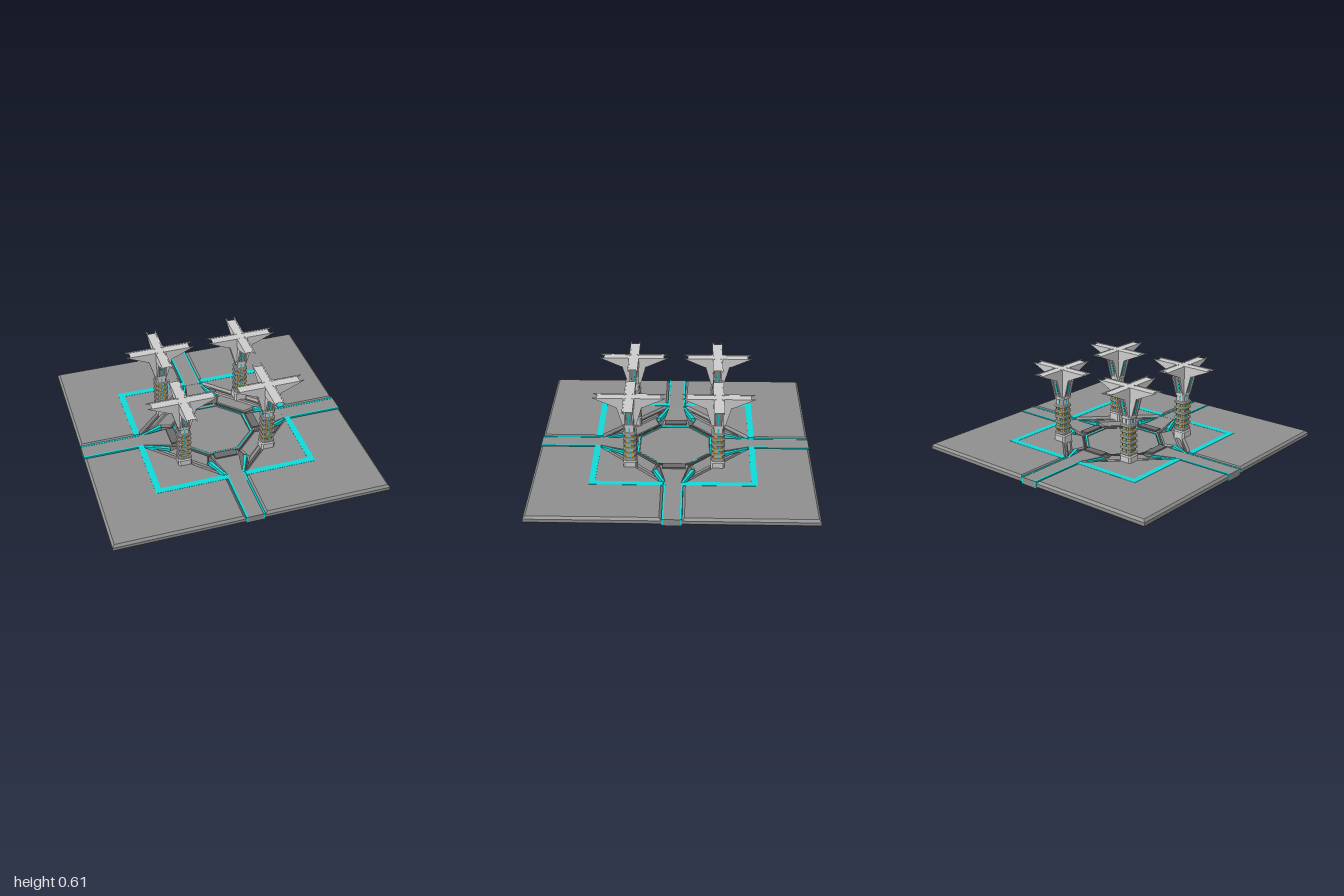
import * as THREE from 'three';

const paint = (color) => new THREE.MeshStandardMaterial({ color, flatShading: true });
const light = paint(0xcccccc), stone = paint(0x8e8e8e), dark = paint(0x6a6a6a);
const cyan = paint(0x0cd8d8), amber = paint(0xd09a18);

const add = (group, name, geometry, material) => {
  const mesh = new THREE.Mesh(geometry, material);
  mesh.name = name;
  group.add(mesh);
  return mesh;
};
const shapeOf = (pts) => new THREE.Shape(pts.map(([x, y]) => new THREE.Vector2(x, y)));

const box = (group, name, mat, w, h, d, x, y, z) => {
  const mesh = add(group, name, new THREE.BoxGeometry(w, h, d), mat);
  mesh.position.set(x, y, z);
  return mesh;
};

// Plan outline in (x, z) raised between y0 and y1, with optional chamfers
function slab(pts, y0, y1, bevel = 0, holes = []) {
  const shape = shapeOf(pts.map(([x, z]) => [x, -z]));
  holes.forEach((h) => shape.holes.push(shapeOf(h.map(([x, z]) => [x, -z]))));
  const g = new THREE.ExtrudeGeometry(shape, {
    depth: y1 - y0 - 2 * bevel, bevelEnabled: bevel > 0, bevelSize: bevel,
    bevelThickness: bevel, bevelOffset: -bevel, bevelSegments: 1,
  });
  return g.rotateX(-Math.PI / 2).translate(0, y0 + bevel, 0);
}

// Side profile in (x, y), centred across z
function profile(pts, width, z = 0) {
  return new THREE.ExtrudeGeometry(shapeOf(pts), { depth: width, bevelEnabled: false })
    .translate(0, 0, z - width / 2);
}

const chamferedSquare = (r, c) => [
  [r, r - c], [r - c, r], [c - r, r], [-r, r - c],
  [-r, c - r], [c - r, -r], [r - c, -r], [r, c - r],
];

function quarterFloor() {
  const g = new THREE.Group();
  g.name = 'floorQuarter';
  add(g, 'cornerSlab', slab([[0.07, 0.55], [0.07, 1], [1, 1], [1, 0.07], [0.55, 0.07]], 0, 0.056, 0.016), stone);
  // Glowing corner of the floor square, visible from both faces
  add(g, 'floorLight', slab([[0.07, 0.55], [0.07, 0.595], [0.595, 0.595], [0.595, 0.07], [0.55, 0.07], [0.55, 0.55]],
    -0.0005, 0.0575), cyan);
  // Sunken panel between slab and octagon
  add(g, 'diagonalPanel', slab([[0.12, 0.29], [0.15, 0.385], [0.1, 0.5], [0.5, 0.1], [0.385, 0.15], [0.29, 0.12]],
    0.005, 0.034, 0.01), stone);
  add(g, 'diagonalKerb', slab([[0.15, 0.40], [0.11, 0.49], [0.49, 0.11], [0.40, 0.15]], 0.02, 0.044, 0.01), stone);
  return g;
}

function walkway() {
  const g = new THREE.Group();
  g.name = 'walkway';
  // Straight strip to the outer edge
  box(g, 'walkwayStrip', stone, 0.11, 0.05, 0.45, 0, 0.026, 0.775);
  // Ramp stepping down to the octagon
  const ramp = profile([[0.27, 0.005], [0.55, 0.005], [0.55, 0.05], [0.27, 0.028]], 1);
  ramp.rotateY(-Math.PI / 2);
  const p = ramp.attributes.position;
  for (let i = 0; i < p.count; i++) {
    const t = (p.getZ(i) - 0.27) / 0.28;
    p.setX(i, p.getX(i) * 2 * THREE.MathUtils.lerp(0.11, 0.055, t));
  }
  ramp.computeVertexNormals();
  add(g, 'ramp', ramp, stone);
  box(g, 'rampStep', dark, 0.17, 0.02, 0.06, 0, 0.034, 0.315);
  for (const s of [-1, 1]) {
    box(g, 'walkwayLight', cyan, 0.014, 0.052, 0.45, s * 0.062, 0.027, 0.775);
    const pts = [[s * 0.052, 0.55], [s * 0.069, 0.55], [s * 0.15, 0.37], [s * 0.12, 0.37]];
    add(g, 'rampLight', slab(s > 0 ? pts : pts.reverse(), 0.01, 0.045), cyan);
  }
  return g;
}

// One of four channel-shaped arms, reaching along +x
function arm() {
  const g = new THREE.Group();
  g.name = 'arm';
  const top = [[0.02, 0.612], [0.255, 0.612], [0.1, 0.542], [0.02, 0.535]];
  const bracket = [[0.02, 0.545], [0.09, 0.542], [0.047, 0.39], [0.02, 0.39]];
  for (const s of [-1, 1]) {
    add(g, 'armFlange', profile(top, 0.009, s * 0.0325), light);
    add(g, 'bracketFlange', profile(bracket, 0.012, s * 0.027), light);
  }
  add(g, 'armWeb', profile([[0, 0.609], [0.225, 0.609], [0.085, 0.55], [0, 0.55]], 0.058), light);
  add(g, 'bracketWeb', profile([[0, 0.55], [0.08, 0.545], [0.04, 0.39], [0, 0.39]], 0.044), stone);
  // Light lines under the arm and down the bracket
  add(g, 'armLight', profile([[0.2, 0.602], [0.204, 0.599], [0.094, 0.551], [0.09, 0.555]], 0.014), cyan);
  add(g, 'bracketLight', profile([[0.07, 0.515], [0.075, 0.515], [0.051, 0.42], [0.046, 0.42]], 0.012), cyan);
  return g;
}

function column() {
  const g = new THREE.Group();
  g.name = 'column';
  add(g, 'columnBase', slab(chamferedSquare(0.05, 0.012), 0, 0.105, 0.008), light);
  add(g, 'columnCore', slab(chamferedSquare(0.037, 0.008), 0.1, 0.4), light);
  // Stacked ribs
  for (let i = 0; i < 6; i++) {
    const y = 0.108 + i * 0.0415;
    add(g, 'rib', slab(chamferedSquare(0.048, 0.012), y, y + 0.021, 0.005), light);
  }
  add(g, 'columnHead', slab(chamferedSquare(0.045, 0.01), 0.38, 0.4), light);
  for (let k = 0; k < 4; k++) {
    const side = new THREE.Group();
    side.name = 'columnSide';
    side.rotation.y = k * Math.PI / 2;
    // Coloured cells between the ribs
    for (let i = 0; i < 5; i++) {
      const y = 0.139 + i * 0.0415;
      box(side, 'cellLight', cyan, 0.014, 0.02, 0.006, 0, y, 0.038);
      for (const s of [-1, 1]) box(side, 'amberCell', amber, 0.018, 0.02, 0.006, s * 0.019, y, 0.037);
    }
    box(side, 'neckLight', cyan, 0.012, 0.03, 0.004, 0, 0.36, 0.037);
    side.add(arm());
    g.add(side);
  }
  return g;
}

export function createModel() {
  const model = new THREE.Group();
  model.name = 'pillaredPlatform';
  const octagon = (r) => chamferedSquare(r, r * 0.59);

  // Central floor
  add(model, 'centreBase', slab([[0.07, 0.56], [0.56, 0.07], [0.56, -0.07], [0.07, -0.56],
    [-0.07, -0.56], [-0.56, -0.07], [-0.56, 0.07], [-0.07, 0.56]], 0.002, 0.016), dark);
  add(model, 'octagonFloor', slab(octagon(0.262), 0.01, 0.028, 0.004), stone);
  add(model, 'octagonLight', slab(octagon(0.275), 0.01, 0.03, 0, [octagon(0.262)]), cyan);
  add(model, 'octagonRim', slab(octagon(0.287), 0.01, 0.036, 0, [octagon(0.275)]), dark);

  // Four-fold repeat of floor, walkways and columns
  for (let k = 0; k < 4; k++) {
    const quarter = new THREE.Group();
    quarter.name = 'quarter';
    quarter.rotation.y = k * Math.PI / 2;
    const pillar = column();
    pillar.position.set(0.315, 0, 0.315);
    quarter.add(quarterFloor(), walkway(), pillar);
    model.add(quarter);
  }
  return model;
}
